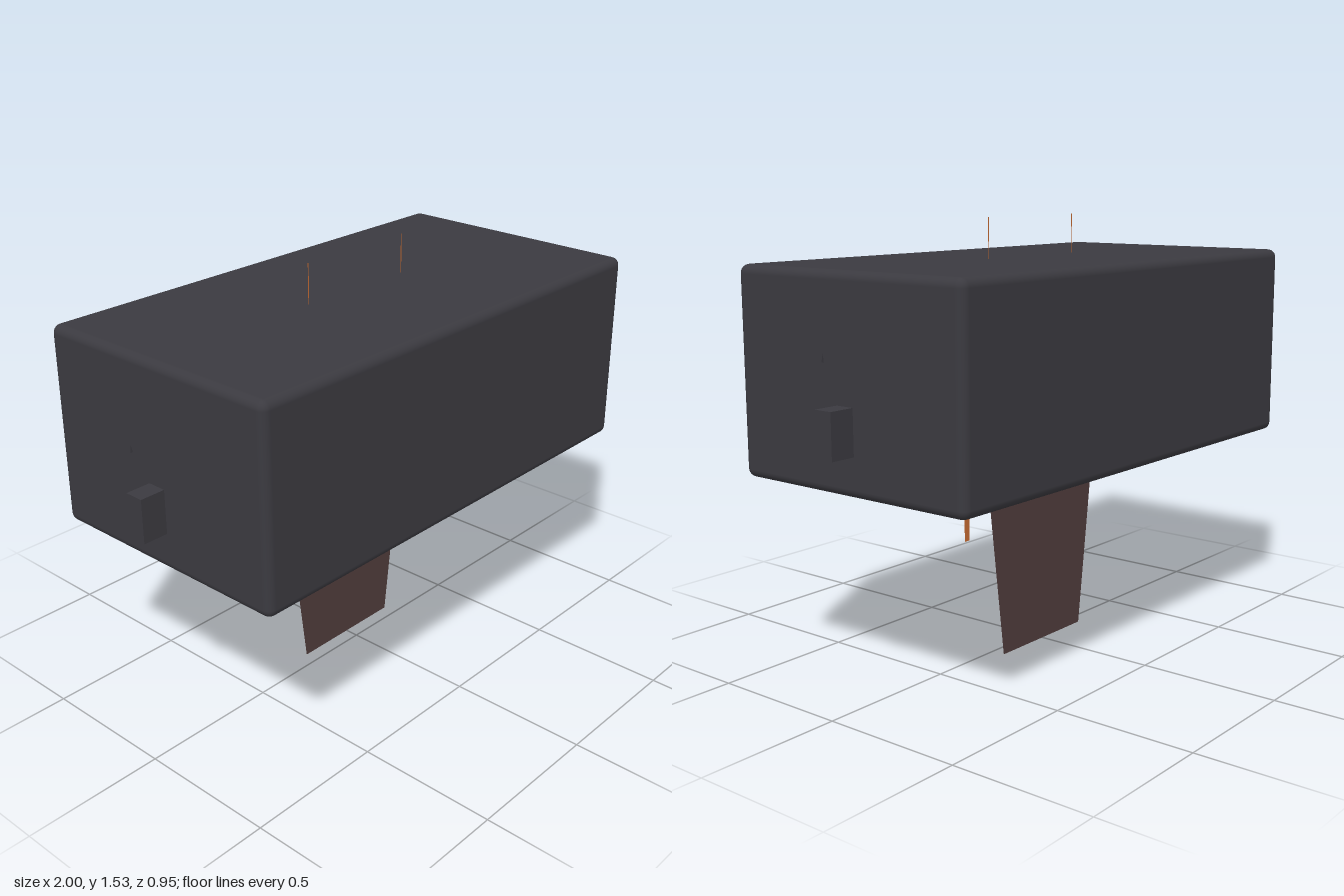
import * as THREE from 'three';
import { RoundedBoxGeometry } from 'three/addons/geometries/RoundedBoxGeometry.js';

export function createModel() {
  const model = new THREE.Group();
  const material = (name, color) => {
    const m = new THREE.MeshStandardMaterial({ color, side: THREE.DoubleSide });
    m.name = name;
    return m;
  };
  const charcoal = material('charcoal', 0x3b3a40);
  const brown = material('dark brown', 0x513d3c);
  const orange = material('orange', 0xc96d33);

  const add = (name, geometry, mat, x, y, z) => {
    const mesh = new THREE.Mesh(geometry, mat);
    mesh.name = name;
    mesh.position.set(x, y, z);
    model.add(mesh);
    return mesh;
  };
  // Flat polygon facing the front
  const sheet = (points) =>
    new THREE.ShapeGeometry(new THREE.Shape(points.map(([x, y]) => new THREE.Vector2(x, y))));

  // Large block with softened edges
  add('body', new RoundedBoxGeometry(1.82, 0.695, 0.955, 3, 0.03), charcoal, 0, 1.0425, 0);

  // Tapered panel hanging from the rear half
  add('tailPanel', sheet([[-0.222, 0], [0.222, 0], [0.312, 0.71], [-0.312, 0.71]]), brown, 0, 0, -0.05);

  // Three narrow strips hanging in front of the panel
  for (const x of [-0.3, 0, 0.3]) {
    add('hangingStrip', new THREE.PlaneGeometry(0.026, 0.295), orange, x - 0.002, 0.5625, 0.05);
  }

  for (const side of [-1, 1]) {
    // Side lug, set slightly into the body
    add('sideLug', new THREE.BoxGeometry(0.11, 0.152, 0.068), charcoal, side * 0.945, 0.904, 0);

    // Tiny fin floating above the lug
    add('sideFin', sheet([[-0.005, 0], [0.005, 0], [-0.002, 0.028]]), charcoal, side * 0.994, 1.124, 0);

    // Hair-thin upright on the top face
    add('topFilament', new THREE.PlaneGeometry(0.004, 0.15), orange, side * 0.232, 1.455, 0);
  }
  return model;
}
